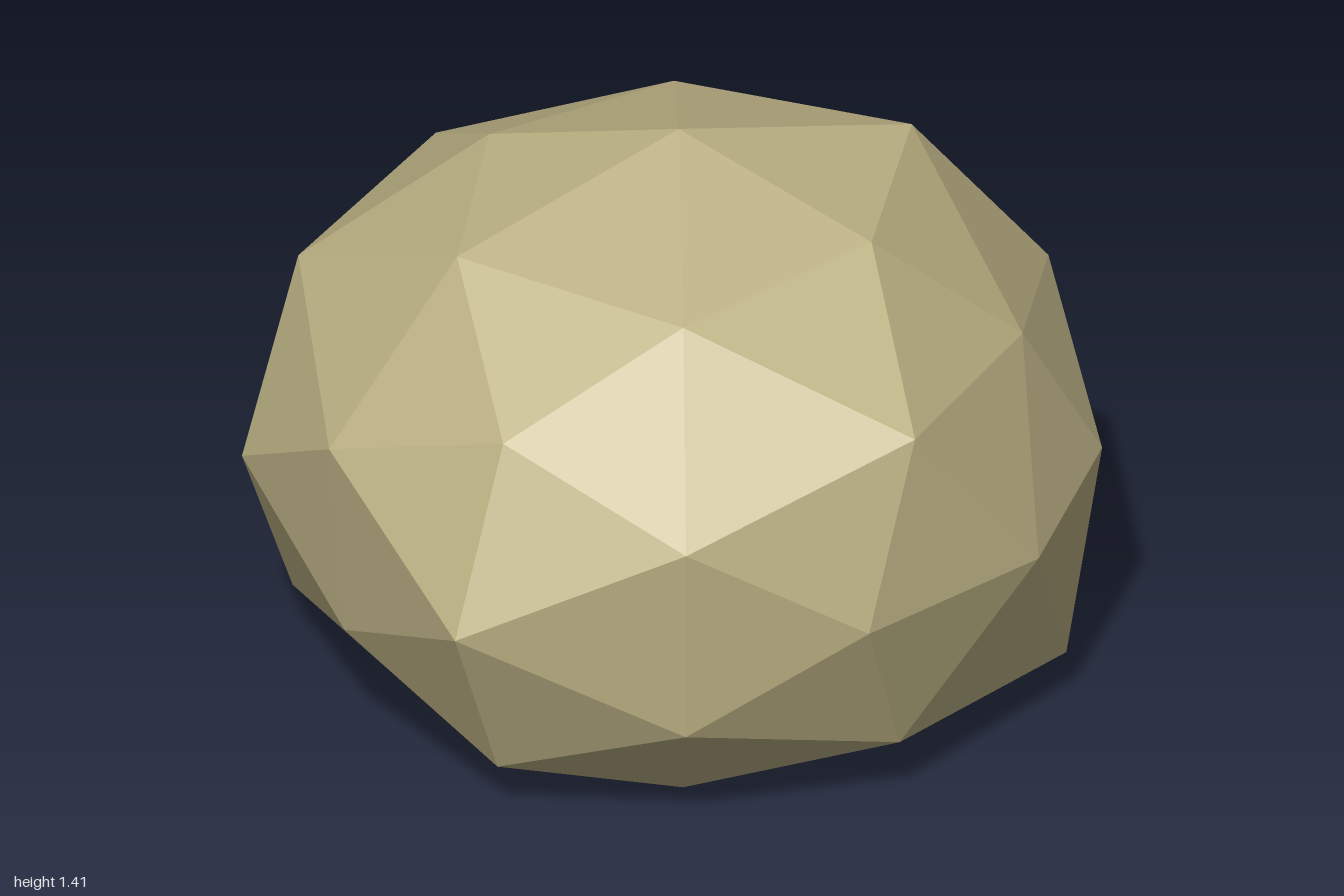
import * as THREE from 'three';

// Radius of every corner, grouped by direction family (absolute x, y, z in tenths).
// Within a family the order runs through the signs + then - of each non-zero axis.
const RADII = {
  '10,0,0': [0.953, 0.997],
  '0,10,0': [1, 1],
  '0,0,10': [1, 1],
  '5,9,0': [0.972, 1.035, 0.953, 0.935],
  '0,5,9': [0.922, 0.928, 0.952, 0.952],
  '9,0,5': [0.935, 0.965, 0.995, 0.907],
  '3,8,5': [0.94, 1.02, 0.95, 0.95, 0.97, 0.95, 1.0, 0.95],
  '8,5,3': [1.0, 0.918, 0.935, 1.035, 1.015, 1.027, 1.03, 1.0],
  '5,3,8': [0.955, 1.0, 0.924, 0.923, 0.945, 0.922, 0.904, 0.95],
};

function cornerRadius(corner) {
  const v = corner.toArray();
  const family = v.map((c) => Math.round(Math.abs(c) * 10)).join(',');
  let index = 0;
  for (const c of v) if (Math.abs(c) > 0.01) index = index * 2 + (c < 0 ? 1 : 0);
  return RADII[family][index];
}

export function createModel() {
  const model = new THREE.Group();
  model.name = 'boulder';

  const stone = new THREE.MeshStandardMaterial({ color: 0xbbb083, flatShading: true });
  stone.name = 'sandy stone';

  // Squashed faceted ball with uneven corners, cut flat where it meets the ground
  const geometry = new THREE.IcosahedronGeometry(1, 1);
  const position = geometry.attributes.position;
  const corner = new THREE.Vector3();
  for (let i = 0; i < position.count; i++) {
    corner.fromBufferAttribute(position, i);
    corner.multiplyScalar(cornerRadius(corner));
    position.setXYZ(i, corner.x + 0.016, Math.max(0, corner.y * 0.85 + 0.56), corner.z);
  }
  geometry.computeVertexNormals();

  const rock = new THREE.Mesh(geometry, stone);
  rock.name = 'rock';
  model.add(rock);
  return model;
}
